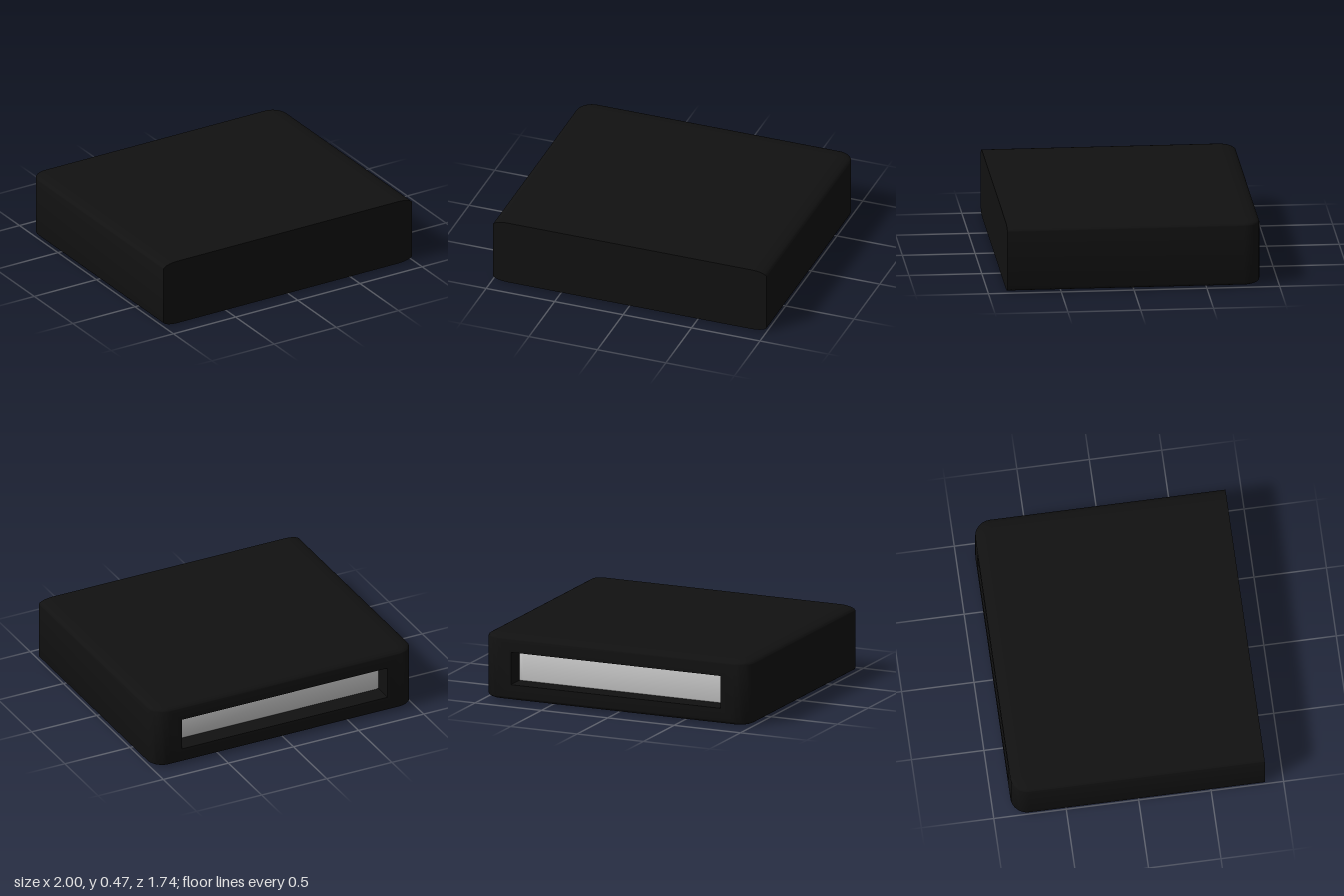
import * as THREE from 'three';
import { toCreasedNormals } from 'three/addons/utils/BufferGeometryUtils.js';

const MID = 0.235; // height of the centre line
const STEPS = 8;   // segments per rounded corner

// Rectangular ring with elliptical corners, counter-clockwise seen from the front
function ring({ z, w, h, rx = 0, ry = 0 }) {
  const points = [];
  [[1, 1], [-1, 1], [-1, -1], [1, -1]].forEach(([sx, sy], q) => {
    for (let i = 0; i <= STEPS; i++) {
      const a = (q + i / STEPS) * Math.PI / 2;
      points.push([
        sx * (w - rx) + rx * Math.cos(a),
        MID + sy * (h - ry) + ry * Math.sin(a),
        z,
      ]);
    }
  });
  return points;
}

// Skin over a list of rings running from front to back
function loft(sections) {
  const rings = sections.map(ring);
  const n = rings[0].length;
  const index = [];
  for (let i = 0; i < rings.length - 1; i++) {
    for (let j = 0; j < n; j++) {
      const a = i * n + j, b = i * n + (j + 1) % n;
      index.push(a, a + n, b, b, a + n, b + n);
    }
  }
  const geometry = new THREE.BufferGeometry();
  geometry.setAttribute('position', new THREE.Float32BufferAttribute(rings.flat(2), 3));
  geometry.setIndex(index);
  return toCreasedNormals(geometry, 0.7);
}

// Rings that round off the back edge of a block
function roundedBack(z, w, h, r, ry) {
  const sections = [];
  for (let i = 0; i <= STEPS; i++) {
    const t = (i / STEPS) * Math.PI / 2;
    const c = Math.cos(t);
    sections.push({
      z: z + r * (1 - Math.sin(t)),
      w: w - r * (1 - c), h: h - ry * (1 - c),
      rx: r * c, ry: ry * c,
    });
  }
  return sections;
}

export function createModel() {
  const group = new THREE.Group();
  group.name = 'slottedBlock';
  const add = (name, geometry, color) => {
    const mesh = new THREE.Mesh(geometry, new THREE.MeshStandardMaterial({ color }));
    mesh.name = name;
    group.add(mesh);
  };

  // Casing: flat front, rounded sides and back, slot sunk into the back
  add('casing', loft([
    { z: 0.87, w: 0, h: 0 },
    { z: 0.87, w: 1, h: MID, rx: 0.115, ry: 0.035 },
    ...roundedBack(-0.87, 1, MID, 0.115, 0.035),
    { z: -0.87, w: 0.79, h: 0.114 },
    { z: -0.7, w: 0.79, h: 0.114 },
  ]), 0x111111);

  // Pale panel at the bottom of the slot
  add('slotPanel', loft([
    { z: -0.6, w: 0, h: 0 },
    { z: -0.6, w: 0.84, h: 0.13, rx: 0.08, ry: 0.025 },
    ...roundedBack(-0.74, 0.84, 0.13, 0.08, 0.025),
    { z: -0.74, w: 0, h: 0 },
  ]), 0xcccccc);

  return group;
}
